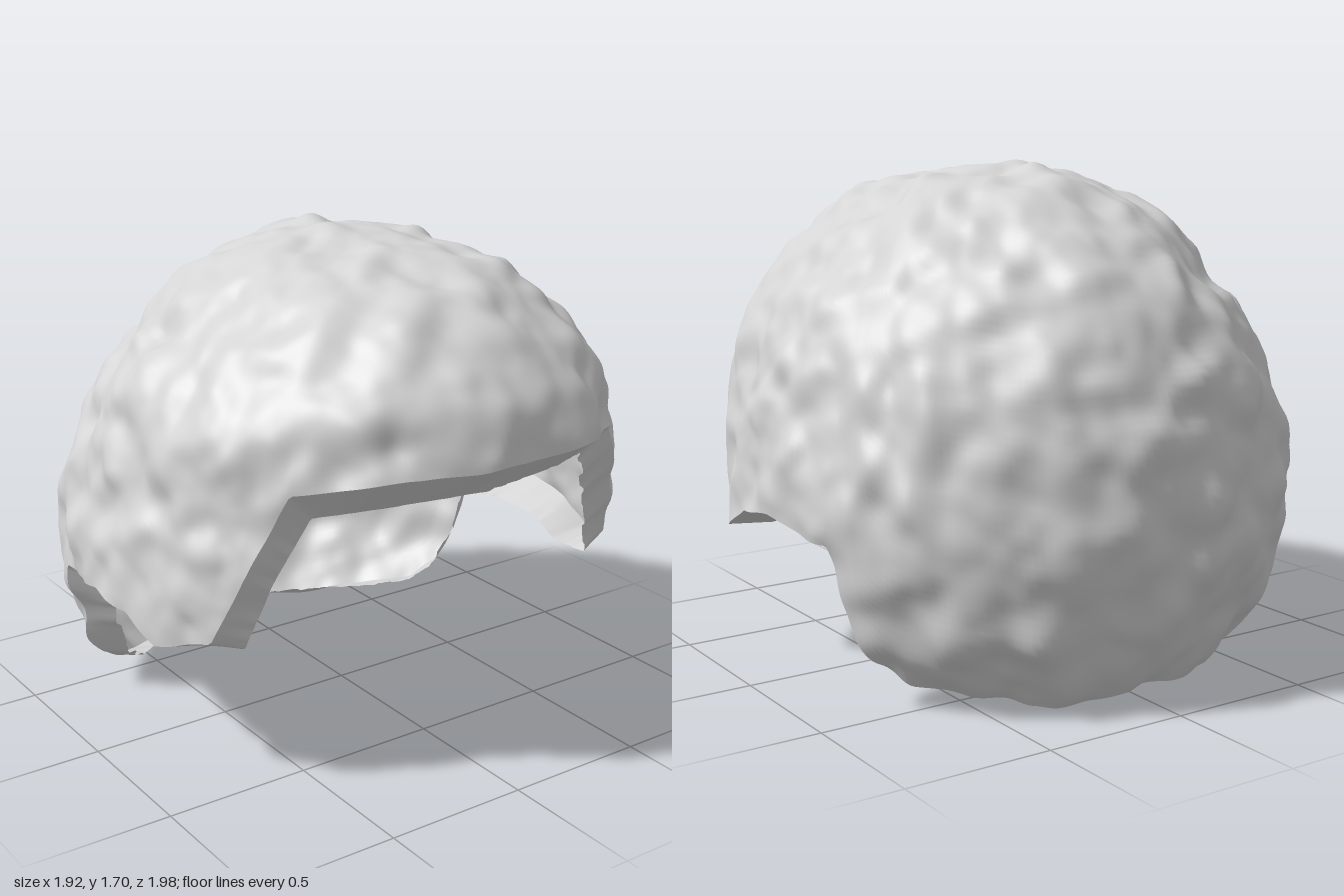
import * as THREE from 'three';
import { mergeVertices } from 'three/addons/utils/BufferGeometryUtils.js';

const COLS = 400;
const CENTER = new THREE.Vector3(0, 0.7, 0);
const V = (p) => new THREE.Vector3(...p);

// Half of the hairline, front centre to back centre: [outer edge, inner edge]
const HAIRLINE = [
  [[0, 1.1, 1], [0, 0.95, 0.79]],
  [[0.35, 1.09, 0.93], [0.35, 0.95, 0.73]],
  [[0.66, 1.04, 0.68], [0.55, 0.93, 0.63]],
  [[0.76, 0.8, 0.6], [0.64, 0.72, 0.56]],
  [[0.85, 0.53, 0.5], [0.72, 0.48, 0.5]],
  [[0.93, 0.47, 0.28], [0.77, 0.45, 0.28]],
  [[0.97, 0.54, 0.15], [0.8, 0.49, 0.15]],
  [[0.97, 0.56, -0.05], [0.8, 0.5, -0.05]],
  [[0.93, 0.52, -0.36], [0.78, 0.48, -0.27]],
  [[0.88, 0.3, -0.4], [0.76, 0.3, -0.31]],
  [[0.77, 0.13, -0.42], [0.68, 0.13, -0.36]],
  [[0.68, 0.06, -0.47], [0.6, 0.07, -0.42]],
  [[0.5, 0.01, -0.62], [0.44, 0.04, -0.56]],
  [[0.25, -0.01, -0.75], [0.22, 0.03, -0.69]],
  [[0, 0.01, -0.79], [0, 0.04, -0.73]],
];

// Smooth seeded value noise in the range -1..1, on a tilted lattice
const TILT = new THREE.Euler(0.6, 0.9, 0.4);
function hash(x, y, z) {
  let h = Math.imul(x, 374761393) ^ Math.imul(y, 668265263) ^ Math.imul(z, 1274126177);
  h = Math.imul(h ^ (h >>> 13), 1103515245);
  return ((h ^ (h >>> 16)) >>> 0) / 2147483648 - 1;
}
function noise(d, freq) {
  const p = d.clone().applyEuler(TILT).toArray().map((c) => c * freq + 50.37);
  const c = p.map(Math.floor);
  const f = p.map((v, k) => { const t = v - c[k]; return t * t * (3 - 2 * t); });
  let sum = 0;
  for (let n = 0; n < 8; n++) {
    const o = [n & 1, (n >> 1) & 1, n >> 2];
    const w = o.reduce((a, b, k) => a * (b ? f[k] : 1 - f[k]), 1);
    sum += w * hash(c[0] + o[0], c[1] + o[1], c[2] + o[2]);
  }
  return sum;
}

// Radius of the lumpy outside in a given direction
const CROWN = new THREE.Vector3(0, 0.88, -0.47);
const REAR_RIGHT = new THREE.Vector3(-0.72, 0, -0.69);
const bell = (v, mid, width) => Math.exp(-(((v - mid) / width) ** 2));
function outerRadius(d) {
  const elevation = Math.asin(THREE.MathUtils.clamp(d.y, -1, 1));
  const facing = Math.max(0, Math.cos(Math.atan2(d.x, d.z)));
  const forehead = 0.14 * Math.max(0, Math.cos(elevation - 0.65)) ** 9 * facing ** 1.5;
  const crown = 0.018 * Math.max(0, d.dot(CROWN)) ** 10;
  const back = 0.02 * Math.max(0, -d.z) ** 4;
  const rearRight = 0.04 * Math.max(0, d.dot(REAR_RIGHT)) ** 12;
  const nape = 0.068 * THREE.MathUtils.smoothstep(-d.y, 0, 0.6);
  const temples = 0.05 * d.x * d.x * bell(d.y, 0.25, 0.3);
  const shoulders = 0.028 * bell(Math.abs(d.x), 0.62, 0.25) * bell(d.y, 0.74, 0.22);
  const lumps = 0.026 * noise(d, 8.5) + 0.013 * noise(d, 5) + 0.006 * noise(d, 15);
  return 0.965 + forehead + crown + back + rearRight + nape - temples - shoulders + lumps;
}
const at = (d, r) => CENTER.clone().addScaledVector(d, r);

// Spread the closed hairline evenly into columns
function hairlineColumns() {
  const mirrored = HAIRLINE.slice(1, -1).reverse()
    .map((pair) => pair.map(([x, y, z]) => [-x, y, z]));
  const loop = [...HAIRLINE, ...mirrored, HAIRLINE[0]].map((pair) => pair.map(V));
  const lengths = [0];
  for (let k = 1; k < loop.length; k++) {
    lengths.push(lengths[k - 1] + loop[k][0].distanceTo(loop[k - 1][0]));
  }
  const total = lengths[lengths.length - 1];
  const cols = [];
  for (let i = 0, k = 0; i < COLS; i++) {
    const s = (i / COLS) * total;
    while (lengths[k + 1] <= s) k++;
    const t = (s - lengths[k]) / (lengths[k + 1] - lengths[k]);
    const outDir = loop[k][0].clone().lerp(loop[k + 1][0], t).sub(CENTER).normalize();
    outDir.y += 0.012 * noise(outDir, 7); // slightly wavy edge
    outDir.normalize();
    const inner = loop[k][1].clone().lerp(loop[k + 1][1], t).sub(CENTER);
    inner.multiplyScalar(1 + 0.012 * hash(i >> 1, 3, 7)).add(CENTER); // ragged inner edge
    cols.push({ outDir, inner });
  }
  return cols;
}

// Swing a direction from the crown (t = 0) to the hairline (t = 1)
function swing(edge, t) {
  const phi = Math.acos(edge.y) * t;
  const az = Math.atan2(edge.x, edge.z);
  return new THREE.Vector3(
    Math.sin(phi) * Math.sin(az), Math.cos(phi), Math.sin(phi) * Math.cos(az));
}

// Closed band of quads, with point(column, t) for t from 0 to 1
function band(cols, rows, point) {
  const pos = [], index = [];
  for (let j = 0; j <= rows; j++) {
    for (const col of cols) pos.push(...point(col, j / rows).toArray());
  }
  for (let j = 0; j < rows; j++) {
    for (let i = 0; i < COLS; i++) {
      const n = (i + 1) % COLS;
      const a = j * COLS + i, b = a + COLS, c = (j + 1) * COLS + n, d = j * COLS + n;
      index.push(a, b, c, a, c, d);
    }
  }
  const geo = new THREE.BufferGeometry();
  geo.setAttribute('position', new THREE.Float32BufferAttribute(pos, 3));
  geo.setIndex(index);
  const merged = mergeVertices(geo, 1e-5);
  merged.computeVertexNormals();
  return merged;
}

export function createModel() {
  const group = new THREE.Group();
  group.name = 'hairCap';
  const hair = new THREE.MeshStandardMaterial({ color: 0xd4d4d4, side: THREE.DoubleSide });
  hair.name = 'light grey hair';
  const cols = hairlineColumns();

  // Lumpy open shell from crown to hairline
  const shell = new THREE.Mesh(band(cols, 90, (c, t) => {
    const d = swing(c.outDir, t);
    return at(d, outerRadius(d));
  }), hair);
  shell.name = 'outerHair';

  // Thick cut edge turning inward around the opening
  const rim = new THREE.Mesh(band(cols, 4, (c, t) =>
    at(c.outDir, outerRadius(c.outDir)).lerp(c.inner, t)), hair);
  rim.name = 'hairlineRim';

  group.add(shell, rim);
  return group;
}
